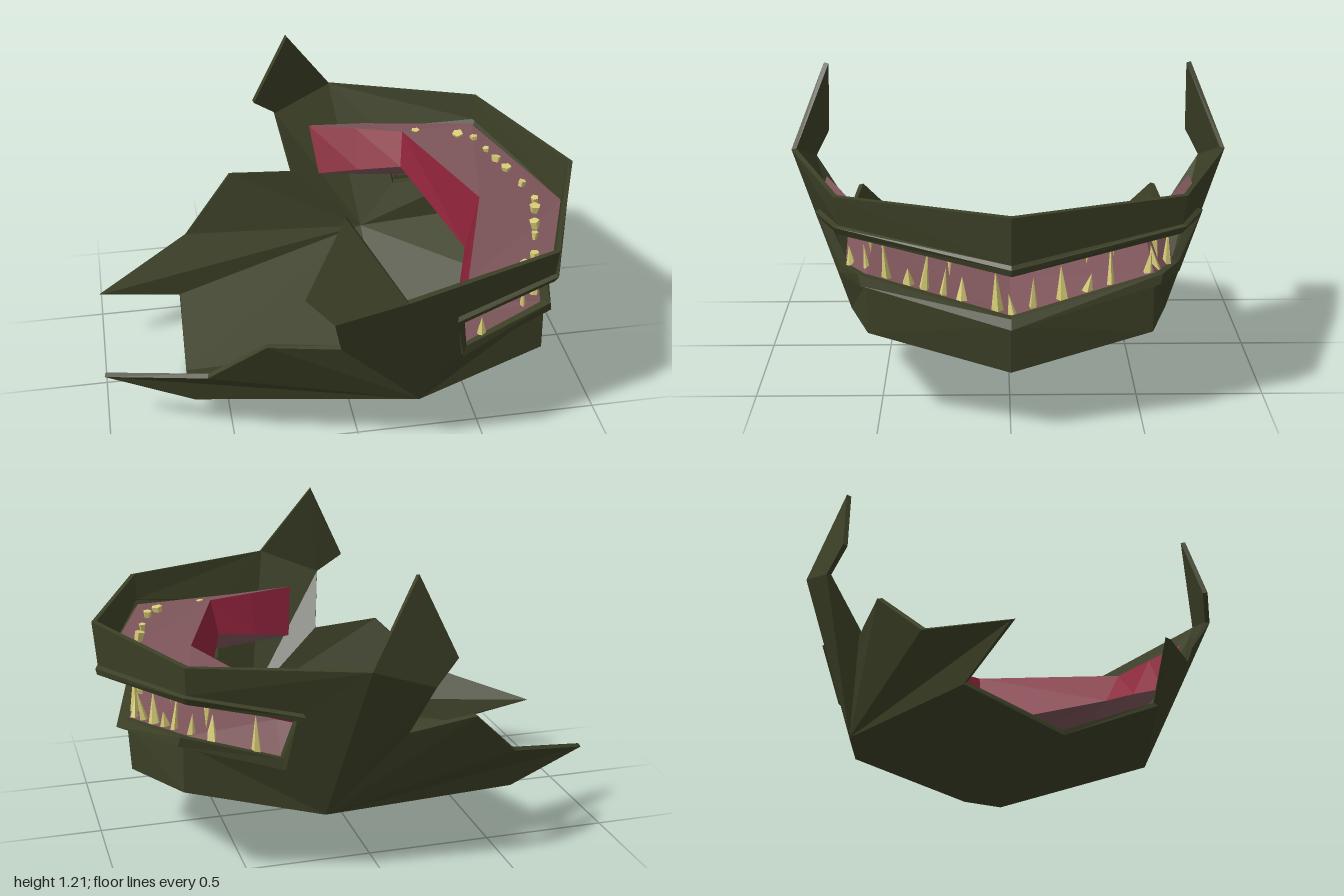
import * as THREE from 'three';

const mat = (name, color, side = THREE.DoubleSide) =>
  Object.assign(new THREE.MeshStandardMaterial({ color, side }), { name });
const flip = ([x, y, z]) => [x, y, -z];

// Flat-faced geometry from points and triangles
function facets(points, faces) {
  const g = new THREE.BufferGeometry();
  g.setAttribute('position', new THREE.Float32BufferAttribute(points.flat(), 3));
  g.setIndex(faces.flat());
  const flat = g.toNonIndexed();
  flat.computeVertexNormals();
  return flat;
}

// Skin between rows of equal length
function loft(rows, closed = false) {
  const n = rows[0].length, faces = [];
  for (let r = 0; r < rows.length - 1; r++)
    for (let i = 0; i < (closed ? n : n - 1); i++) {
      const j = (i + 1) % n, a = r * n + i, b = r * n + j;
      faces.push([a, b, b + n], [a, b + n, a + n]);
    }
  return facets(rows.flat(), faces);
}

// Arc from the right side, through the centre point (first), to the left side
const arc = half => [...half.slice(1).reverse().map(flip), ...half];
// Closed loop whose first and last points lie on the centre plane
const ring = half => [...half, ...half.slice(1, -1).reverse().map(flip)];

// Mirror a half surface and give it thickness with closed edges
function thickShell(half, halfFaces, t) {
  const pts = half.slice();
  const twin = half.map((p, i) => (p[2] === 0 ? i : pts.push(flip(p)) - 1));
  const faces = [...halfFaces, ...halfFaces.map(([a, b, c]) => [twin[a], twin[c], twin[b]])];
  const v = pts.map(p => new THREE.Vector3(...p));
  const normals = pts.map(() => new THREE.Vector3());
  const edges = new Set();
  for (const f of faces) {
    const n = v[f[1]].clone().sub(v[f[0]]).cross(v[f[2]].clone().sub(v[f[0]])).normalize();
    f.forEach((a, k) => { normals[a].add(n); edges.add(a + '_' + f[(k + 1) % 3]); });
  }
  const n = pts.length;
  const inner = v.map((p, i) => p.clone().addScaledVector(normals[i].normalize(), -t).toArray());
  const all = [...faces, ...faces.map(([a, b, c]) => [a + n, c + n, b + n])];
  for (const e of edges) {
    const [a, b] = e.split('_').map(Number);
    if (!edges.has(b + '_' + a)) all.push([b, a, a + n], [b, a + n, b + n]);
  }
  return facets([...pts, ...inner], all);
}

export function createModel() {
  const model = new THREE.Group();
  const green = mat('dark green hide', 0x3c4026);
  const pink = mat('dull pink gum', 0x7d555a);
  const red = mat('deep red throat', 0x8c2239);
  const ivory = mat('yellow ivory', 0xd8cd78, THREE.FrontSide);
  const add = (name, geometry, material, parent = model) => {
    const m = new THREE.Mesh(geometry, material);
    m.name = name;
    parent.add(m);
    return m;
  };

  // Mouth opening on the hide: upper lip centre, corner, back, then lower back, corner, centre
  const mouth = [[.975, .73, 0], [.735, .80, .625], [.33, .73, .74],
    [.375, .485, .65], [.735, .575, .53], [.87, .455, 0]];

  // Head shell: rim, mouth edge, jaw, keel, rear spikes and ears
  const shell = [
    [.11, .91, .87], [.74, .91, .64], [.99, .91, 0],            // 0-2 top rim
    ...mouth,                                                   // 3-8
    [.22, .27, .64], [.74, .38, .53], [.86, .27, 0],            // 9-11 jaw edge
    [.22, .03, 0], [-.66, .01, 0],                              // 12-13 keel
    [-.65, .17, .37], [-1, .27, .29], [-.6, .39, .52],          // 14-16 rear spike
    [-.38, .61, .65], [-.1, .58, .67], [-.15, .81, .82],        // 17-19 cheek
    [-.25, .90, .775], [-.1, 1.22, .75],                        // 20-21 ear
  ];
  const shellFaces = [
    [9, 0, 19], [9, 19, 18], [9, 18, 17], [9, 17, 16], [9, 16, 15], [9, 15, 14],
    [9, 14, 13], [9, 13, 12], [9, 12, 11], [9, 11, 10],
    [9, 10, 7], [9, 7, 6], [10, 11, 8], [10, 8, 7],
    [9, 6, 5], [9, 5, 0], [0, 5, 4], [0, 4, 1], [1, 4, 3], [1, 3, 2],
    [0, 21, 19], [19, 21, 20],
  ];
  add('headShell', thickShell(shell, shellFaces, .02), green);

  // Raised lip around the opening
  const lipOuter = [[.985, .715, 0], [.745, .795, .64], [.325, .72, .76],
    [.38, .485, .67], [.76, .575, .55], [.915, .46, 0]];
  const lipInner = [[.98, .69, 0], [.735, .765, .625], [.355, .705, .745],
    [.39, .53, .665], [.75, .615, .56], [.895, .495, 0]];
  const lipBack = [[.95, .70, 0], [.715, .77, .60], [.355, .71, .71],
    [.39, .53, .63], [.72, .605, .525], [.86, .495, 0]];
  add('lips', loft([mouth, lipOuter, lipInner, lipBack].map(ring), true), green);

  // Mouth lining
  const palateInner = [[.6, .775, 0], [.4, .775, .6], [.2, .77, .672], [0, .765, .745]];
  const throatBase = [[.55, .53, 0], [.38, .635, .53], [.2, .6, .595], [.03, .56, .66]];
  const palateOuter = [[.955, .725, 0], [.72, .78, .61], [.26, .75, .75], [0, .765, .745]];
  const floorOuter = [[.87, .49, 0], [.725, .605, .53], [.39, .53, .64], [.03, .56, .66]];
  add('palate', loft([arc(palateOuter), arc(palateInner)]), pink);
  add('throatWall', loft([arc(palateInner), arc(throatBase)]), red);
  add('mouthFloor', loft([arc(floorOuter), arc(throatBase)]), pink);

  // Uneven teeth along each jaw; t runs -2..2 from right back to left back
  function toothRow(name, path, spots, dir) {
    const row = new THREE.Group();
    row.name = name;
    model.add(row);
    spots.forEach((t, i) => {
      const k = Math.min(Math.floor(Math.abs(t)), 1);
      const p = new THREE.Vector3(...path[k]).lerp(new THREE.Vector3(...path[k + 1]), Math.abs(t) - k);
      if (t < 0) p.z *= -1;
      const h = .115 + .045 * Math.sin(i * 2.4 + dir);
      const g = new THREE.ConeGeometry(.02 + .005 * Math.sin(i * 1.7), h, 5).toNonIndexed();
      g.translate(0, h / 2 - .02, 0);
      g.computeVertexNormals();
      const tooth = add('tooth', g, ivory, row);
      tooth.position.copy(p);
      tooth.rotation.set(.2 * Math.sin(i * 3.1), i, (dir < 0 ? Math.PI : 0) + .22 * Math.sin(i * 1.9));
    });
  }
  toothRow('lowerTeeth', [[.84, .515, 0], [.70, .615, .51], [.42, .55, .63]],
    [-1.8, -1.25, -1, -.72, -.56, -.37, -.16, 0, .1, .35, .48, .62, .74, .9, 1.2, 1.85], 1);
  toothRow('upperTeeth', [[.84, .75, 0], [.69, .775, .5], [.42, .755, .62]],
    [-1.85, -1.2, -.95, -.75, -.6, -.44, -.2, .06, .2, .44, .62, .92, 1.15, 1.9], -1);

  return model;
}
